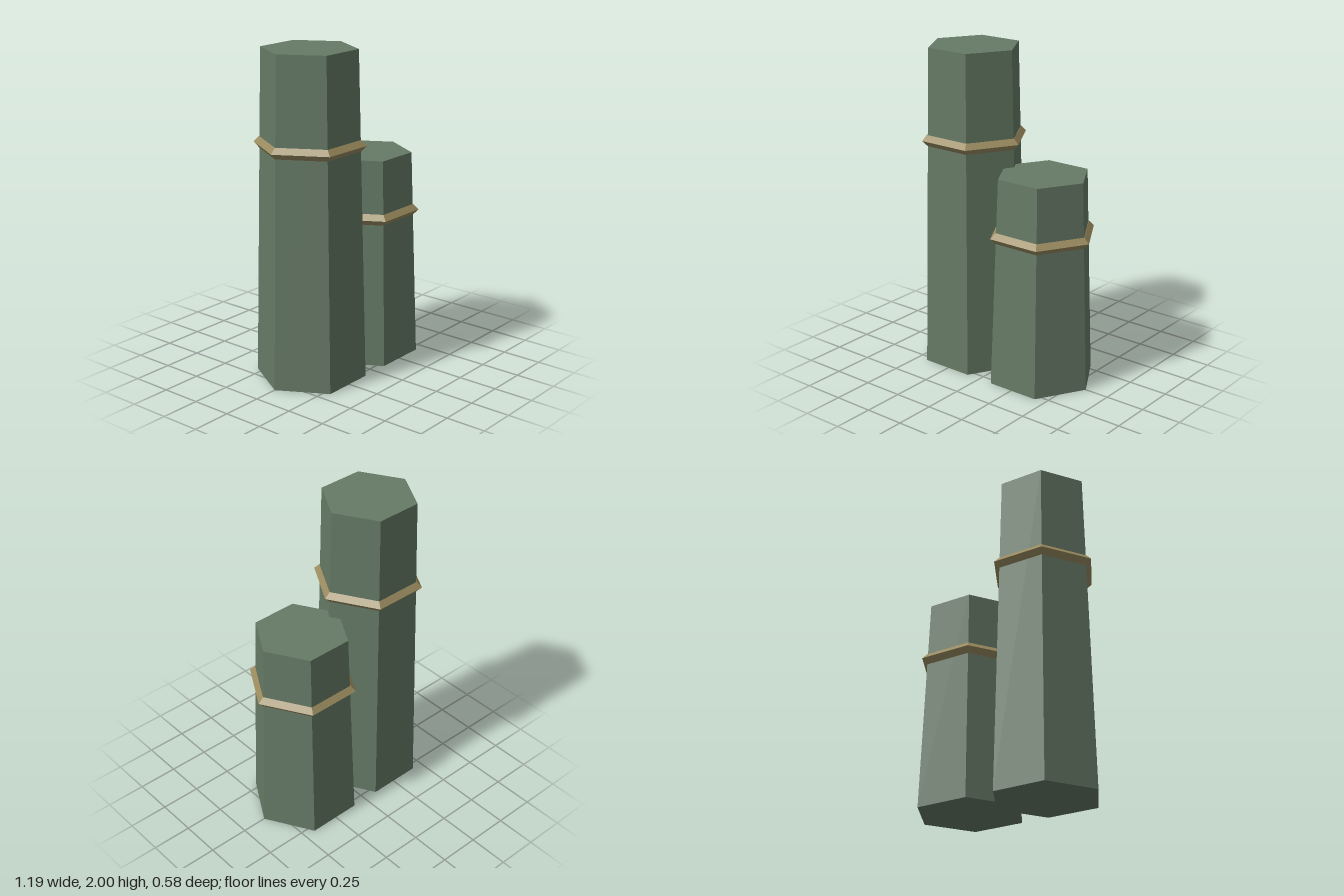
import * as THREE from 'three';

// Give every facet its own normal
function faceted(geometry) {
  const g = geometry.toNonIndexed();
  g.computeVertexNormals();
  return g;
}

export function createModel() {
  const model = new THREE.Group();
  model.name = 'hexagonalColumns';

  const green = new THREE.MeshStandardMaterial({ color: 0x667a66 });
  green.name = 'mossGreen';
  const brass = new THREE.MeshStandardMaterial({ color: 0x998a5e });
  brass.name = 'dullBrass';

  // Tapered six-sided column with a diamond-section band around it
  function addColumn(name, x, height, bandY) {
    const group = new THREE.Group();
    group.name = name;
    group.position.x = x;

    const shaft = new THREE.Mesh(
      faceted(new THREE.CylinderGeometry(0.285, 0.335, height, 6, 1, false, Math.PI / 2)), green);
    shaft.name = name + 'Shaft';
    shaft.position.y = height / 2;

    const band = new THREE.Mesh(
      faceted(new THREE.TorusGeometry(0.301, 0.034, 4, 6).rotateX(Math.PI / 2)), brass);
    band.name = name + 'Band';
    band.position.y = bandY;

    group.add(shaft, band);
    model.add(group);
  }

  addColumn('tallColumn', -0.26, 2, 1.44);
  addColumn('shortColumn', 0.26, 1.297, 0.936);

  return model;
}
